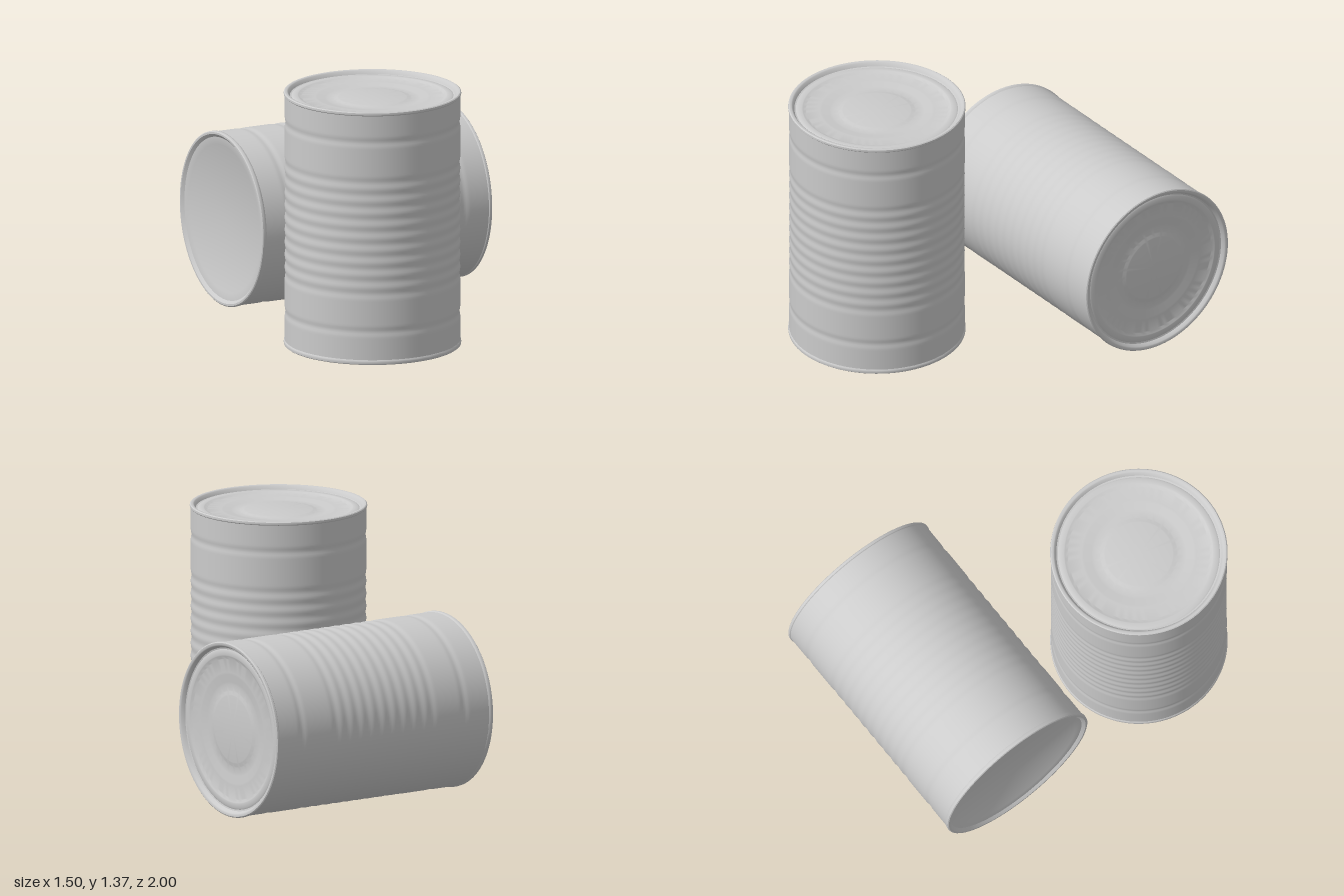
import * as THREE from 'three';
import { toCreasedNormals } from 'three/addons/utils/BufferGeometryUtils.js';

const R = 0.467;   // rim radius
const H = 1.37;    // can height
const WALL = 0.462;
const SEGMENTS = 96;

const material = new THREE.MeshStandardMaterial({ color: 0xcccccc, side: THREE.DoubleSide });

// Spin a profile of [radius, height] pairs into a named mesh.
function spin(name, profile, crease = 0.6) {
  const points = profile.map(([r, y]) => new THREE.Vector2(r, y));
  const geometry = toCreasedNormals(new THREE.LatheGeometry(points, SEGMENTS), crease);
  const mesh = new THREE.Mesh(geometry, material);
  mesh.name = name;
  return mesh;
}

// Wall radius at a given height: a run of ribs in the middle, one bead near each end.
function wallRadius(y) {
  const first = 0.35, last = 1.02, ribs = 10;
  if (y > first && y < last) {
    const phase = ((y - first) / (last - first)) * ribs * Math.PI * 2;
    return WALL - 0.002 * (1 - Math.cos(phase));
  }
  for (const bead of [0.178, 1.205]) {
    const d = Math.abs(y - bead) / 0.03;
    if (d < 1) return WALL - 0.002 * (1 + Math.cos(d * Math.PI));
  }
  return WALL;
}

function createCan(name) {
  const can = new THREE.Group();
  can.name = name;

  // Ribbed side wall
  const wall = [];
  const steps = 130, y0 = 0.024, y1 = H - 0.018;
  for (let i = 0; i <= steps; i++) {
    const y = y0 + ((y1 - y0) * i) / steps;
    wall.push([wallRadius(y), y]);
  }
  can.add(spin('ribbedWall', wall));

  // Bottom: plain recessed disc, sloping band and rolled rim
  can.add(spin('bottomEnd', [
    [0, 0.022], [0.385, 0.022], [0.395, 0.018], [0.435, 0.014], [0.446, 0.004],
    [0.451, 0], [0.461, 0], [0.466, 0.004], [R, 0.012], [0.466, 0.021], [WALL, 0.026],
  ]));

  // Top: rolled rim, countersink and stepped rings
  can.add(spin('topEnd', [
    [WALL, -0.02], [0.466, -0.016], [R, -0.01], [0.466, -0.004], [0.461, 0],
    [0.45, 0], [0.444, -0.004], [0.434, -0.022], [0.426, -0.024], [0.418, -0.02],
    [0.394, -0.02], [0.389, -0.021], [0.376, -0.028], [0.371, -0.029],
    [0.302, -0.029], [0.29, -0.03], [0.25, -0.037], [0.238, -0.038],
    [0.206, -0.038], [0.2, -0.037], [0.184, -0.033], [0.178, -0.032], [0, -0.032],
  ].map(([r, y]) => [r, H + y])));

  return can;
}

export function createModel() {
  const model = new THREE.Group();
  model.name = 'twoCans';

  const standing = createCan('standingCan');
  standing.position.set(-0.285, 0, 0.533);

  // Lying on its side, top end towards +x
  const lying = createCan('lyingCan');
  lying.rotation.z = -Math.PI / 2;
  lying.position.set(-0.618, 0.472, -0.533);

  model.add(standing, lying);
  return model;
}
